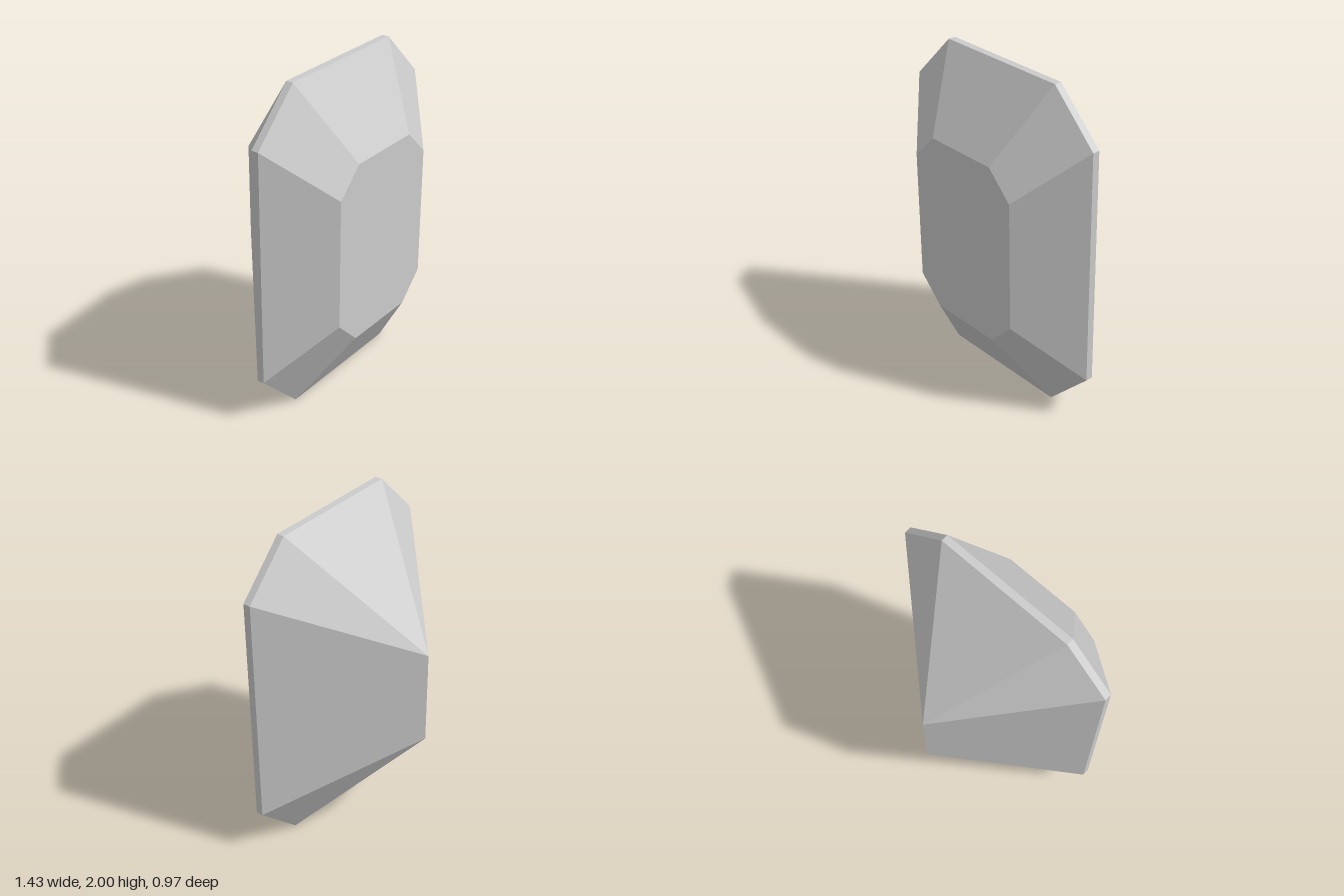
import * as THREE from 'three';

// Chamfered rectangle, counter-clockwise seen from the front, centred on y = 1
function octagon(halfW, halfH, cornerX, cornerY, z) {
  return [
    [halfW, -cornerY], [halfW, cornerY], [cornerX, halfH], [-cornerX, halfH],
    [-halfW, cornerY], [-halfW, -cornerY], [-cornerX, -halfH], [cornerX, -halfH],
  ].map(([x, y]) => new THREE.Vector3(x, y + 1, z));
}

// Flat facets between a back ring and a front ring, skipping collapsed triangles
function band(back, front) {
  const triangles = [];
  const add = (a, b, c) => {
    if (!a.equals(b) && !b.equals(c) && !c.equals(a)) triangles.push(a, b, c);
  };
  back.forEach((p, i) => {
    const j = (i + 1) % back.length;
    add(p, back[j], front[j]);
    add(p, front[j], front[i]);
  });
  return triangles;
}

// Fan that closes a ring facing the front
function cap(ring) {
  const triangles = [];
  for (let i = 1; i < ring.length - 1; i++) triangles.push(ring[0], ring[i], ring[i + 1]);
  return triangles;
}

export function createModel() {
  const gem = new THREE.Group();
  gem.name = 'emeraldCutGem';
  const material = new THREE.MeshStandardMaterial({ color: 0xcccccc, flatShading: true });

  const addPart = (name, triangles) => {
    const geometry = new THREE.BufferGeometry().setFromPoints(triangles);
    geometry.computeVertexNormals();
    const mesh = new THREE.Mesh(geometry, material);
    mesh.name = name;
    gem.add(mesh);
  };

  const keel = octagon(0, 0.286, 0, 0.286, -0.486); // collapses to a vertical ridge
  const girdleBack = octagon(0.714, 1, 0.428, 0.714, 0.157);
  const girdleFront = octagon(0.714, 1, 0.428, 0.714, 0.2);
  const tableRim = octagon(0.393, 0.55, 0.236, 0.393, 0.486);

  addPart('pavilion', band(keel, girdleBack));
  addPart('girdle', band(girdleBack, girdleFront));
  addPart('crown', band(girdleFront, tableRim));
  addPart('table', cap(tableRim));
  return gem;
}
